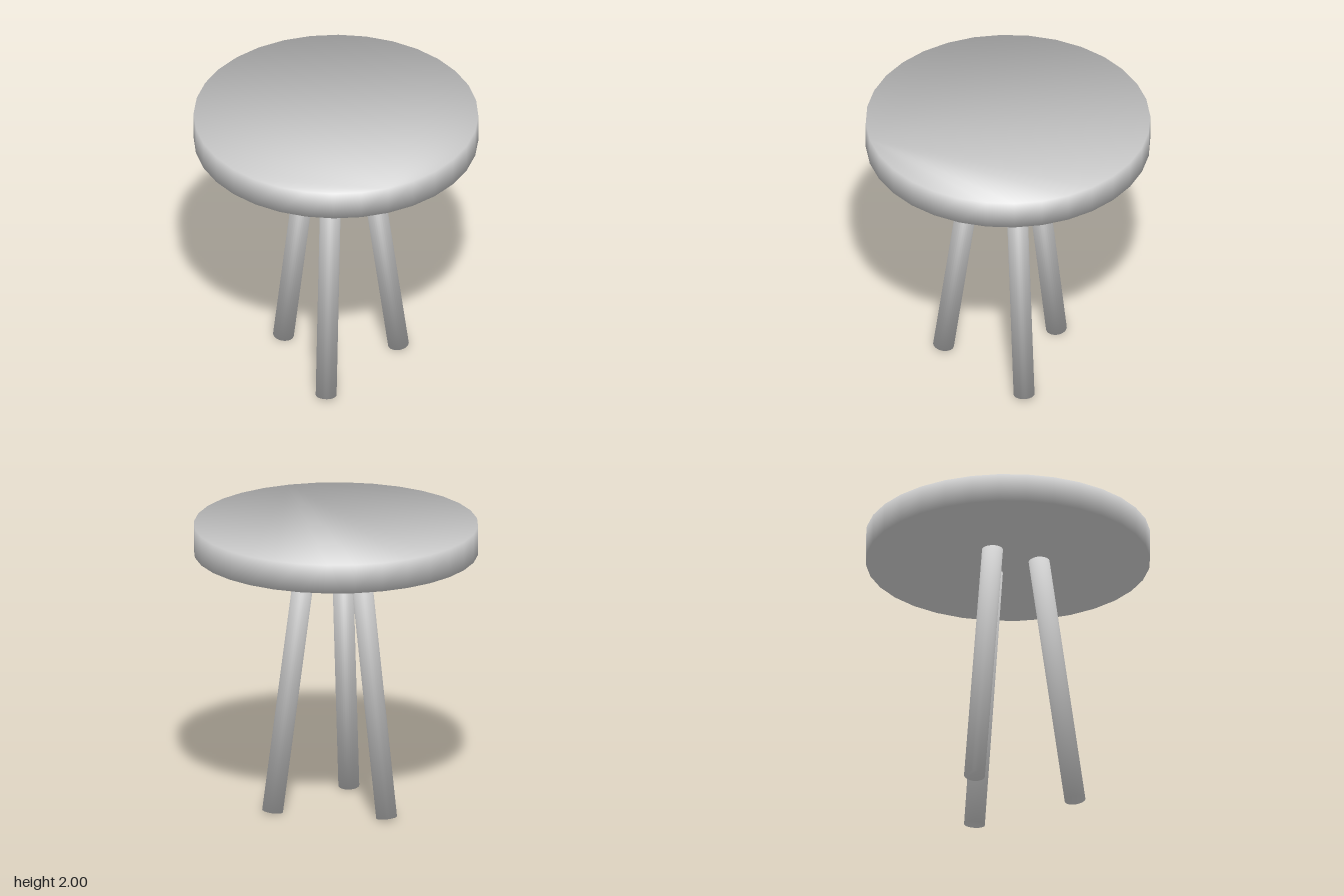
import * as THREE from 'three';

// Closed cylinder whose caps share the rim vertices, with normals softened across the rim
function softCylinder(radius, height, sides) {
  const geo = new THREE.CylinderGeometry(radius, radius, height, sides, 1, true);
  const index = Array.from(geo.index.array);
  const b = sides + 1;
  for (let i = 1; i < sides - 1; i++) index.push(0, i, i + 1, b, b + i + 1, b + i);
  geo.setIndex(index);
  geo.clearGroups();
  const pos = geo.attributes.position;
  const n = new THREE.Vector3();
  for (let i = 0; i < pos.count; i++) {
    n.set(pos.getX(i) / radius, Math.sign(pos.getY(i)), pos.getZ(i) / radius).normalize();
    geo.attributes.normal.setXYZ(i, n.x, n.y, n.z);
  }
  return geo;
}

export function createModel() {
  const group = new THREE.Group();
  group.name = 'stool';
  const grey = new THREE.MeshStandardMaterial({ color: 0xcccccc });
  grey.name = 'light grey';

  // Round seat
  const seat = new THREE.Mesh(softCylinder(0.966, 0.2, 32), grey);
  seat.name = 'seat';
  seat.position.y = 1.9;
  group.add(seat);

  // Three splayed legs, 120 degrees apart
  const foot = new THREE.Vector3(0.455, 0.01, 0);
  const top = new THREE.Vector3(0.21, 1.8, 0);
  const dir = top.clone().sub(foot);
  const legGeo = softCylinder(0.071, dir.length(), 32);
  for (let i = 0; i < 3; i++) {
    const mount = new THREE.Group();
    mount.name = 'legMount' + (i + 1);
    mount.rotation.y = (i * Math.PI * 2) / 3;
    const leg = new THREE.Mesh(legGeo, grey);
    leg.name = 'leg' + (i + 1);
    leg.position.copy(foot).add(top).multiplyScalar(0.5);
    leg.rotation.z = Math.atan2(-dir.x, dir.y);
    mount.add(leg);
    group.add(mount);
  }
  return group;
}
